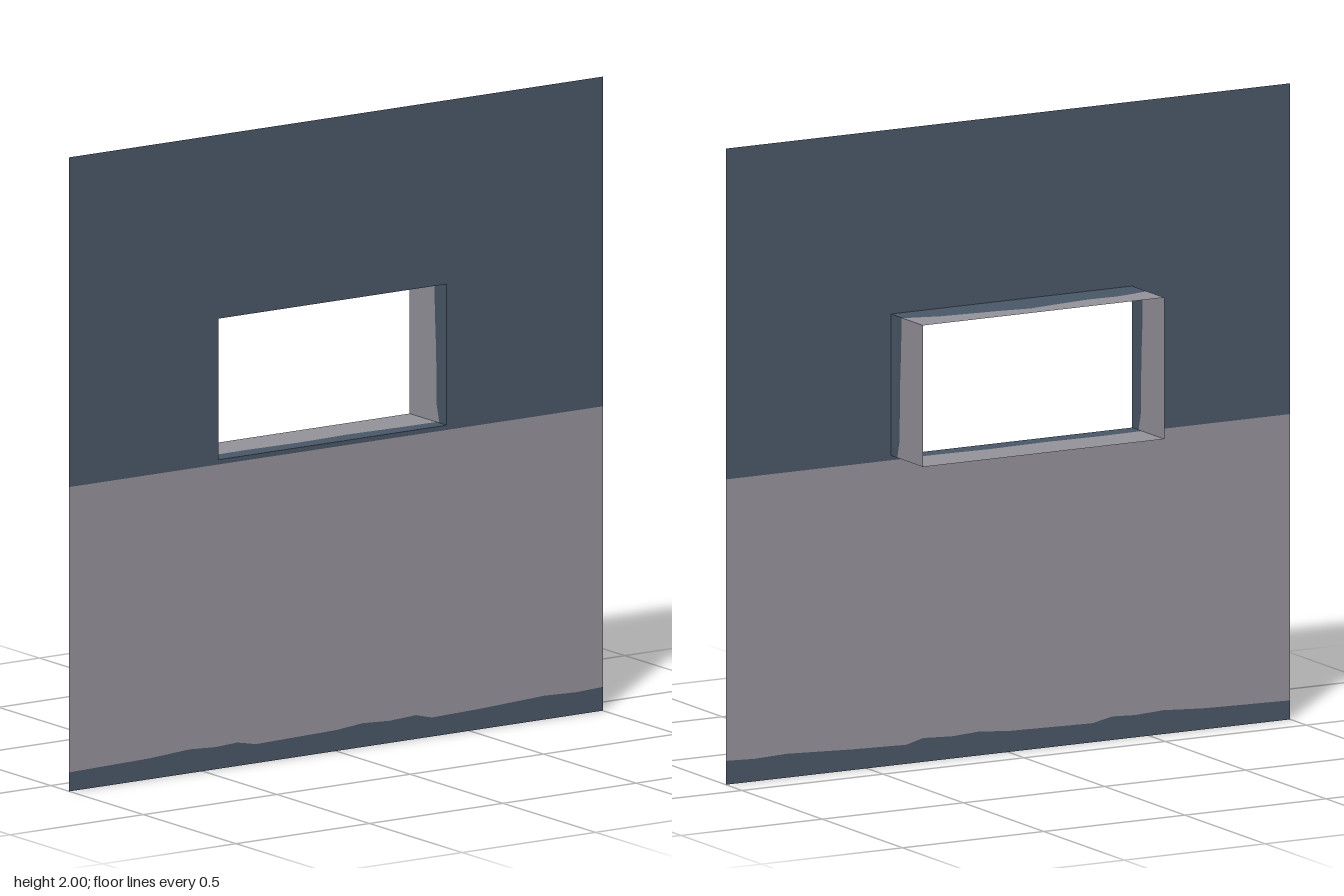
import * as THREE from 'three';

const blue = new THREE.MeshStandardMaterial({ color: 0x4a5868, side: THREE.DoubleSide });
blue.name = 'slateBluePaint';
const grey = new THREE.MeshStandardMaterial({ color: 0x96949c, side: THREE.DoubleSide });
grey.name = 'greyPlaster';

const FRONT = 0.1, BACK = -0.1;
const L = -0.44, R = 0.415, B = 0.975, T = 1.42; // window opening

// Flat strip from a straight edge (v = from) to a wavy edge of [u, v] points
function strip(name, material, edge, from, place) {
  const positions = [], index = [];
  edge.forEach(([u, v], i) => {
    positions.push(...place(u, from), ...place(u, v));
    const a = i * 2;
    if (i) index.push(a - 2, a, a + 1, a - 2, a + 1, a - 1);
  });
  const geometry = new THREE.BufferGeometry();
  geometry.setAttribute('position', new THREE.Float32BufferAttribute(positions, 3));
  geometry.setIndex(index);
  geometry.computeVertexNormals();
  const mesh = new THREE.Mesh(geometry, material);
  mesh.name = name;
  return mesh;
}

// Panel split into two colours along a wavy edge
function splitPanel(name, edge, start, end, place) {
  const group = new THREE.Group();
  group.name = name;
  group.add(strip(name + 'Blue', blue, edge, start, place));
  group.add(strip(name + 'Grey', grey, edge, end, place));
  return group;
}

export function createModel() {
  const model = new THREE.Group();
  model.name = 'wallWithWindow';

  // Upper wall with the window opening
  const wall = new THREE.Shape([[-1, 0.96], [1, 0.96], [1, 2], [-1, 2]].map(p => new THREE.Vector2(...p)));
  wall.holes.push(new THREE.Path([[L, B], [L, T], [R, T], [R, B]].map(p => new THREE.Vector2(...p))));
  const upper = new THREE.Mesh(new THREE.ShapeGeometry(wall), blue);
  upper.name = 'upperWall';
  upper.position.z = FRONT;
  model.add(upper);

  // Lower wall with an uneven painted base
  const baseEdge = [[-1, 0.06], [-0.7, 0.066], [-0.55, 0.075], [-0.45, 0.07], [-0.37, 0.074], [-0.3, 0.06],
    [0, 0.066], [0.1, 0.075], [0.2, 0.07], [0.3, 0.075], [0.36, 0.06], [0.55, 0.065], [0.78, 0.075],
    [0.9, 0.071], [1, 0.075]];
  model.add(splitPanel('lowerWall', baseEdge, 0, 0.96, (x, y) => [x, y, FRONT]));

  // Window reveal: head, sill and two jambs, painted unevenly at the front
  const headEdge = [[L, 0.01], [-0.38, -0.005], [-0.32, -0.014], [-0.22, -0.01], [-0.1, -0.025], [0, -0.04],
    [0.1, -0.025], [0.2, -0.016], [0.3, -0.006], [R, 0.027]];
  const sillEdge = [[L, 0.04], [-0.3, 0.035], [-0.1, 0.042], [0.1, 0.034], [0.28, 0.042], [R, 0.045]];
  const jambEdge = [[B, 0.06], [1.03, 0.046], [1.2, 0.043], [1.32, 0.036], [T, 0.034]];
  model.add(splitPanel('windowHead', headEdge, FRONT, BACK, (x, z) => [x, T, z]));
  model.add(splitPanel('windowSill', sillEdge, FRONT, BACK, (x, z) => [x, B, z]));
  model.add(splitPanel('rightJamb', jambEdge, FRONT, BACK, (y, z) => [L, y, z]));
  model.add(splitPanel('leftJamb', jambEdge, FRONT, BACK, (y, z) => [R, y, z]));

  return model;
}
